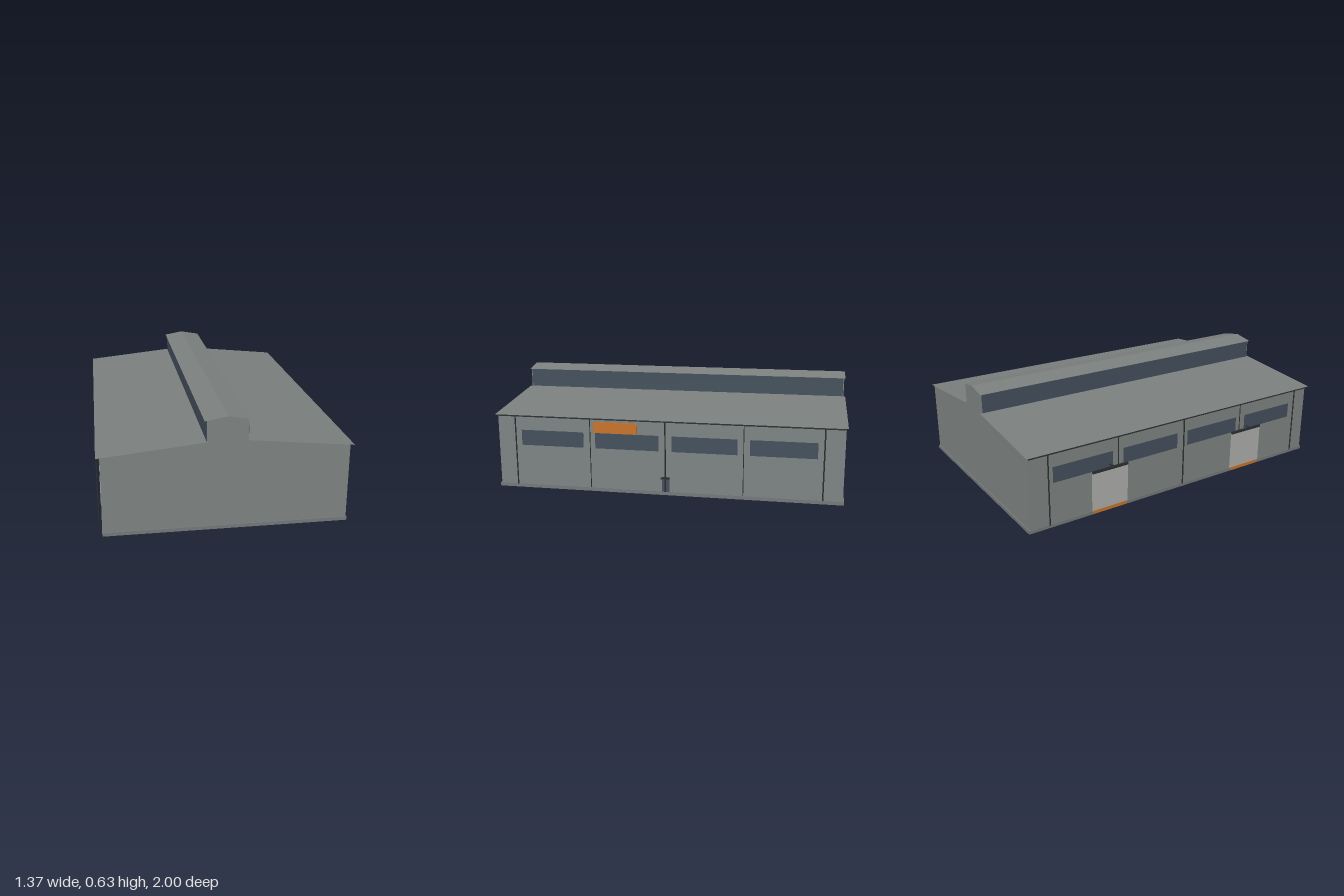
import * as THREE from 'three';

export function createModel() {
  const mat = (name, color, side = THREE.FrontSide) => {
    const m = new THREE.MeshStandardMaterial({ color, side });
    m.name = name;
    return m;
  };
  const wallGrey = mat('wall grey', 0x7e8483);
  const roofGrey = mat('roof grey', 0x7b807e, THREE.DoubleSide);
  const plinthGrey = mat('plinth grey', 0x747979);
  const glassBlue = mat('glass blue', 0x44505c);
  const signOrange = mat('orange', 0xc87428);
  const trimDark = mat('dark trim', 0x2c3032);
  const doorGrey = mat('door grey', 0xaeaeac);

  const root = new THREE.Group();
  root.name = 'industrialHall';
  const hall = new THREE.Group();
  hall.name = 'hall';
  hall.position.x = -0.004;
  root.add(hall);

  const add = (name, geometry, material, parent = hall) => {
    const mesh = new THREE.Mesh(geometry, material);
    mesh.name = name;
    parent.add(mesh);
    return mesh;
  };
  // Box placed by its lower and upper corners
  const box = (name, x0, x1, y0, y1, z0, z1, material, parent = hall) => {
    const mesh = add(name, new THREE.BoxGeometry(x1 - x0, y1 - y0, z1 - z0), material, parent);
    mesh.position.set((x0 + x1) / 2, (y0 + y1) / 2, (z0 + z1) / 2);
    return mesh;
  };

  // Hall body with the raised skylight in one cross-section
  const W = 0.657, M = 0.109;
  const section = new THREE.Shape([
    [-W, 0], [W, 0], [W, 0.44], [M, 0.495], [M, 0.609], [0, 0.629],
    [-M, 0.609], [-M, 0.495], [-W, 0.44],
  ].map(([x, y]) => new THREE.Vector2(x, y)));
  const body = new THREE.ExtrudeGeometry(section, { depth: 1.98, bevelEnabled: false });
  body.translate(0, 0, -0.99);
  add('walls', body, wallGrey);
  box('plinth', -0.66, 0.66, 0, 0.02, -0.997, 0.997, plinthGrey);

  // Thin sloping roof sheet between two edges
  const sheet = (name, x0, y0, x1, y1, length) => {
    const mesh = add(name, new THREE.PlaneGeometry(Math.hypot(x1 - x0, y1 - y0), length)
      .rotateX(-Math.PI / 2).rotateZ(Math.atan2(y1 - y0, x1 - x0)), roofGrey);
    mesh.position.set((x0 + x1) / 2, (y0 + y1) / 2, 0);
  };
  sheet('leftRoof', 0.108, 0.497, 0.678, 0.439, 2);
  sheet('rightRoof', -0.678, 0.439, -0.108, 0.497, 2);
  sheet('leftSkylightRoof', 0, 0.631, 0.122, 0.609, 1.992);
  sheet('rightSkylightRoof', -0.122, 0.609, 0, 0.631, 1.992);

  // Matching details of both long sides
  for (const s of [1, -1]) {
    const side = new THREE.Group();
    side.name = s > 0 ? 'leftSide' : 'rightSide';
    hall.add(side);
    const sideBox = (name, a, b, y0, y1, z0, z1, material) =>
      box(name, Math.min(s * a, s * b), Math.max(s * a, s * b), y0, y1, z0, z1, material, side);

    sideBox('skylightGlazing', M - 0.001, M + 0.002, 0.497, 0.607, -0.985, 0.985, glassBlue);
    sideBox('gutter', 0.669, 0.678, 0.431, 0.437, -0.99, 0.99, trimDark);
    for (const z of [-0.66, -0.22, 0.225, 0.665])
      sideBox('window', W - 0.002, W + 0.002, 0.258, 0.348, z - 0.185, z + 0.185, glassBlue);
    for (const z of [-0.88, 0, 0.88]) {
      const pipe = add('downpipe', new THREE.CylinderGeometry(0.004, 0.004, 0.408, 8), trimDark, side);
      pipe.position.set(s * 0.674, 0.229, z);
    }
    for (const z of [-0.44, 0.44])
      sideBox('wallJoint', W - 0.002, W + 0.003, 0.022, 0.435, z - 0.002, z + 0.002, trimDark);
  }

  // Entrance and sign
  box('entranceDoor', W - 0.002, W + 0.004, 0.02, 0.097, -0.021, 0.021, glassBlue);
  box('entranceCanopy', W, 0.689, 0.103, 0.107, -0.025, 0.025, trimDark);
  box('signBoard', W - 0.001, W + 0.005, 0.35, 0.414, 0.165, 0.42, signOrange);

  // Loading bays
  for (const z of [-0.495, 0.495]) {
    const bay = new THREE.Group();
    bay.name = 'loadingBay';
    hall.add(bay);
    box('rollerDoor', -W - 0.005, -W + 0.002, 0.02, 0.25, z - 0.115, z + 0.115, doorGrey, bay);
    box('threshold', -W - 0.006, -W, 0.003, 0.022, z - 0.11, z + 0.11, signOrange, bay);
    box('shutterHousing', -W - 0.009, -W, 0.245, 0.261, z - 0.115, z + 0.115, trimDark, bay);
    box('lampArm', -0.683, -W, 0.273, 0.277, z - 0.008, z + 0.008, trimDark, bay);
  }
  return root;
}
